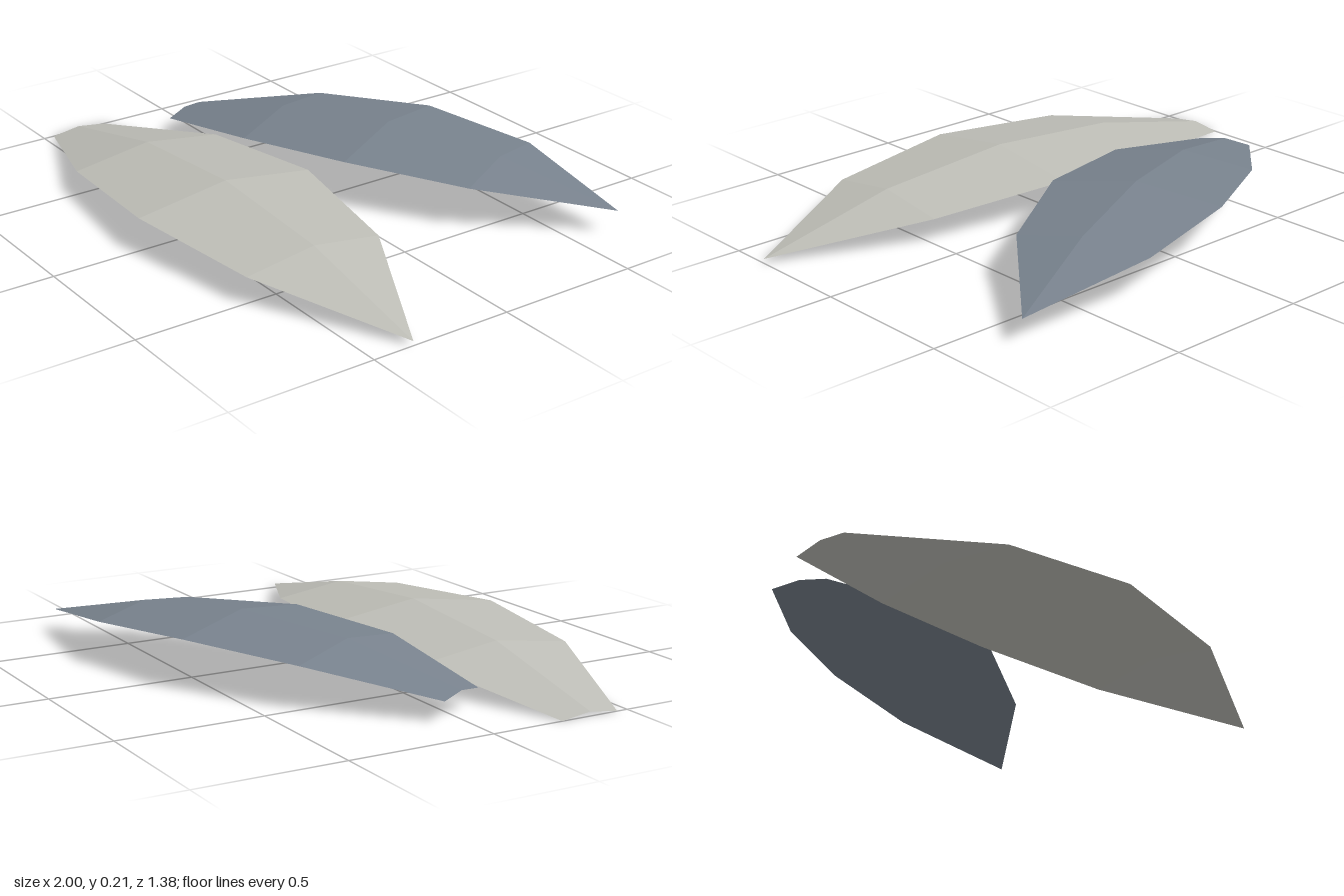
import * as THREE from 'three';

const paleGrey = new THREE.MeshStandardMaterial({ name: 'paleGrey', color: 0xbdbdb6, flatShading: true, side: THREE.DoubleSide });
const slateBlue = new THREE.MeshStandardMaterial({ name: 'slateBlue', color: 0x78828d, flatShading: true, side: THREE.DoubleSide });

// Cross-sections along a leaf, from blunt base to pointed tip: [x, half width, ridge height]
const sections = [
  [-1, 0.105, 0.02],
  [-0.5, 0.28, 0.13],
  [0, 0.33, 0.167],
  [0.5, 0.25, 0.13],
  [1, 0, 0.02],
];
const edgeDrop = 0.143; // fall of the blade from ridge to edge, per unit of width

// An open, folded blade: each section has a far edge, a ridge and a near edge
function leafGeometry(length, width, height) {
  const positions = [];
  const index = [];
  for (const [x, w, y] of sections) {
    for (const side of [-1, 0, 1]) {
      positions.push(x * length, y * height - Math.abs(side) * w * width * edgeDrop, side * w * width);
    }
  }
  for (let i = 0; i < sections.length - 1; i++) {
    const atTip = sections[i + 1][1] === 0;
    for (let j = 0; j < 2; j++) {
      const a = i * 3 + j, b = a + 1, c = a + 3, d = a + 4;
      if (atTip) index.push(a, b, d - j); // the tip is one triangle per side
      else index.push(a, b, d, a, d, c);
    }
  }
  const indexed = new THREE.BufferGeometry();
  indexed.setAttribute('position', new THREE.Float32BufferAttribute(positions, 3));
  indexed.setIndex(index);
  const geometry = indexed.toNonIndexed();
  geometry.computeVertexNormals();
  return geometry;
}

export function createModel() {
  const model = new THREE.Group();
  model.name = 'leafPair';

  // Larger pale leaf at the front
  const frontLeaf = new THREE.Mesh(leafGeometry(1, 1, 1), paleGrey);
  frontLeaf.name = 'frontLeaf';
  frontLeaf.position.set(0, 0, 0.357);

  // Smaller slate leaf behind, turned and raised
  const backLeaf = new THREE.Mesh(leafGeometry(0.863, 0.9, 0.87), slateBlue);
  backLeaf.name = 'backLeaf';
  backLeaf.position.set(-0.003, 0.068, -0.315);
  backLeaf.rotation.y = 0.4;

  model.add(frontLeaf, backLeaf);
  return model;
}
